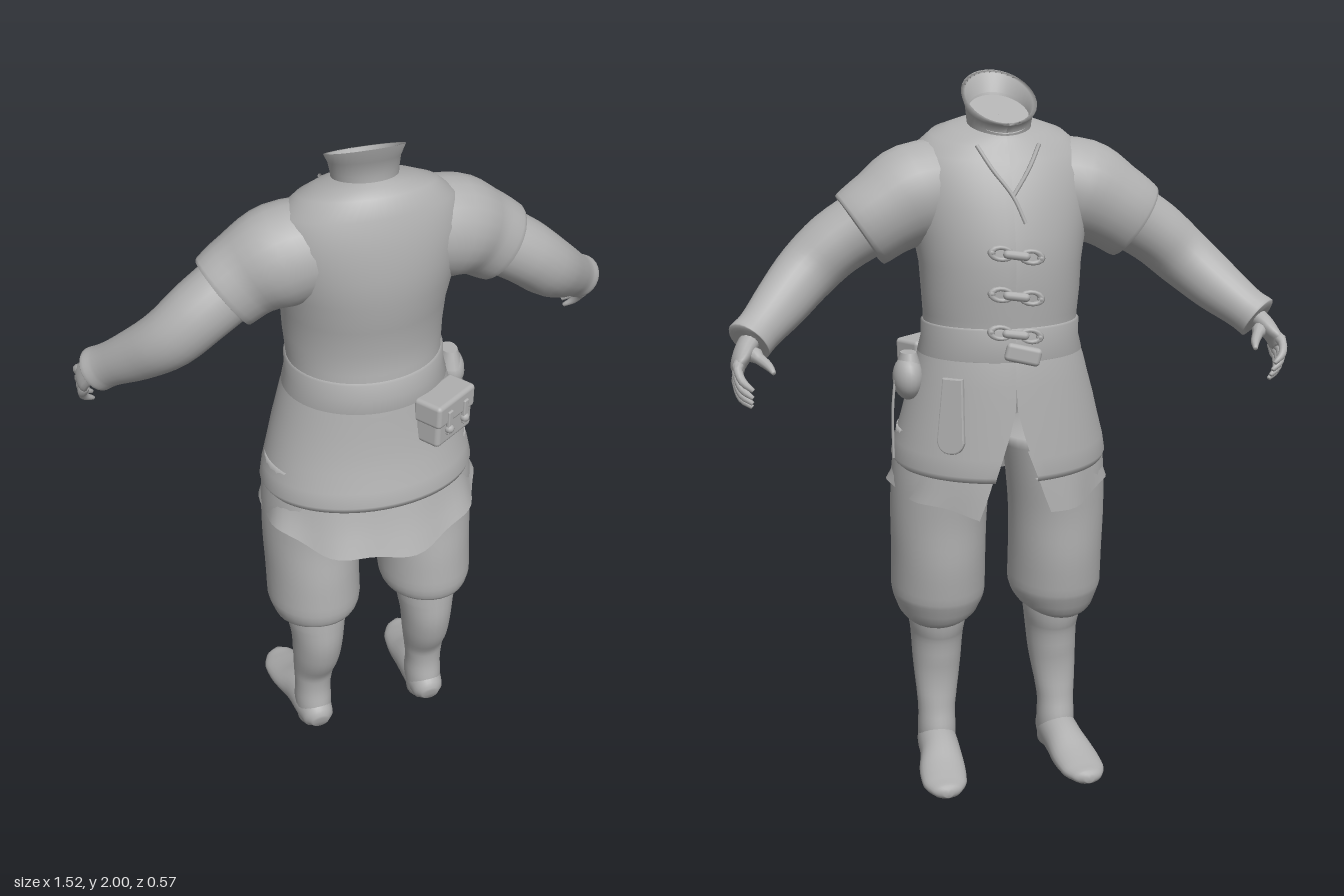
import * as THREE from 'three';
import { RoundedBoxGeometry } from 'three/addons/geometries/RoundedBoxGeometry.js';

const V = (x, y, z) => new THREE.Vector3(x, y, z);
const cloth = new THREE.MeshStandardMaterial({ color: 0xb0b0b0, side: THREE.DoubleSide });
cloth.name = 'plain grey';

// Skin a list of point rings; every ring has the same count
function skin(rings, closed) {
  const n = rings[0].length, pos = [], idx = [];
  rings.forEach(r => r.forEach(p => pos.push(p.x, p.y, p.z)));
  for (let i = 0; i < rings.length - 1; i++) {
    for (let j = 0; j < (closed ? n : n - 1); j++) {
      const k = (j + 1) % n, a = i * n + j, b = i * n + k;
      idx.push(a, b, b + n, a, b + n, a + n);
    }
  }
  const g = new THREE.BufferGeometry();
  g.setAttribute('position', new THREE.Float32BufferAttribute(pos, 3));
  g.setIndex(idx);
  g.computeVertexNormals();
  return g;
}

// Elliptical limb along a smooth path; rows are [x, y, z, radiusAlongRef, radiusAcross]
function limb(rows, { n = 24, sub = 4, ref = V(0, 0, 1), cap = true, edit } = {}) {
  const path = new THREE.CatmullRomCurve3(rows.map(r => V(r[0], r[1], r[2])));
  const size = new THREE.CatmullRomCurve3(rows.map(r => V(r[3], r[4], 0)));
  const steps = (rows.length - 1) * sub, rings = [];
  for (let i = 0; i <= steps; i++) {
    const c = path.getPoint(i / steps), s = size.getPoint(i / steps), d = path.getTangent(i / steps);
    const u = ref.clone().addScaledVector(d, -ref.dot(d)).normalize();
    const v = d.clone().cross(u), ring = [];
    for (let j = 0; j < n; j++) {
      const t = j / n * Math.PI * 2;
      const p = c.clone().addScaledVector(u, s.x * Math.cos(t)).addScaledVector(v, s.y * Math.sin(t));
      if (edit) edit(p);
      ring.push(p);
    }
    rings.push(ring);
  }
  if (cap) {
    const mid = r => r.map(() => r.reduce((a, p) => a.add(p), V(0, 0, 0)).divideScalar(n));
    rings.unshift(mid(rings[0]));
    rings.push(mid(rings[rings.length - 1]));
  }
  return skin(rings, true);
}

// Upright garment; rows run upward as [y, halfWidth, backZ, frontZ, frontGap]
function garment(rows, edit, n = 64) {
  const rings = rows.map(([y, rx, zb, zf, gap = 0], i) => {
    const ring = [], span = Math.PI - gap;
    for (let j = 0; j <= n; j++) {
      const t = -span + 2 * span * j / n;
      const p = V(rx * Math.sin(t), y, (zb + zf) / 2 + (zb - zf) / 2 * Math.cos(t));
      if (edit) edit(p, t, i);
      ring.push(p);
    }
    return ring;
  });
  return skin(rings, false);
}

const torsoRows = [
  [1.24, .222, .175, -.2], [1.3, .212, .172, -.2], [1.36, .215, .165, -.205], [1.42, .22, .16, -.21],
  [1.5, .225, .175, -.215], [1.58, .24, .187, -.205], [1.66, .255, .19, -.185], [1.74, .26, .18, -.16],
  [1.8, .235, .16, -.135], [1.84, .185, .135, -.12], [1.86, .13, .105, -.108], [1.87, .085, .085, -.095]];

// Depth of the chest surface at a given x and y
function chestZ(x, y) {
  let i = 0;
  while (i < torsoRows.length - 2 && torsoRows[i + 1][0] < y) i++;
  const a = torsoRows[i], b = torsoRows[i + 1], k = (y - a[0]) / (b[0] - a[0]);
  const [rx, zb, zf] = [1, 2, 3].map(c => a[c] + (b[c] - a[c]) * k);
  return (zb + zf) / 2 - (zb - zf) / 2 * Math.sqrt(Math.max(0, 1 - (x / rx) ** 2));
}

export function createModel() {
  const model = new THREE.Group();
  const add = (name, geo, parent = model) => {
    const m = new THREE.Mesh(geo, cloth);
    m.name = name;
    parent.add(m);
    return m;
  };

  // Tunic body, tilted forward at the neck
  add('tunicBody', garment(torsoRows, p => {
    p.y += p.z * .25 * THREE.MathUtils.smoothstep(p.y, 1.7, 1.87);
  }));

  // Tunic skirt with a front slit and a rolled hem
  add('tunicSkirt', garment([
    [.94, .28, .215, -.215, .2], [.938, .298, .235, -.232, .2], [.955, .305, .24, -.238, .19],
    [1.0, .297, .228, -.235, .14], [1.06, .28, .212, -.23, .07], [1.12, .265, .2, -.225, .01],
    [1.18, .248, .19, -.22], [1.23, .235, .184, -.215], [1.27, .222, .178, -.207]], p => {
    p.y += p.z * .09 * THREE.MathUtils.smoothstep(-p.y, -1.15, -.95);
  }));
  add('belt', garment([
    [1.245, .222, .176, -.206], [1.25, .23, .184, -.213], [1.29, .22, .181, -.212],
    [1.335, .22, .175, -.212], [1.34, .212, .165, -.203]]));

  // Underskirt with a rippling, uneven hem
  add('underskirt', garment([
    [.84, .312, .272, -.228, .33], [.88, .302, .252, -.226, .28], [.93, .292, .23, -.222, .22],
    [1.0, .28, .21, -.215, .12]], (p, t, i) => {
    const k = (3 - i) / 3, f = 1 + .022 * k * Math.sin(9 * t);
    p.x *= f;
    p.z *= f;
    p.y -= k * (.03 * Math.cos(2 * t) + .008 * Math.sin(7 * t));
  }));

  // Flared collar, high at the nape, with an inset neck
  const tilt = (p, k) => { p.y += (p.z + .01) * k; };
  const slopes = [.25, .3, .4, .5, .5, .45];
  add('collar', garment([
    [1.855, .086, .088, -.1], [1.88, .088, .085, -.1], [1.91, .092, .095, -.115],
    [1.936, .101, .12, -.138], [1.935, .09, .107, -.126], [1.9, .08, .085, -.1]],
    (p, t, i) => tilt(p, slopes[i]), 36));
  add('neck', garment([[1.89, .083, .09, -.105], [1.89, .001, -.008, -.01]], p => tilt(p, .45), 36));

  // Crossed lapel edges on the chest
  [[[.085, 1.82], [.05, 1.76], [0, 1.69], [-.03, 1.62]], [[-.085, 1.82], [-.05, 1.76], [0, 1.69]]].forEach(pts => {
    const c = new THREE.CatmullRomCurve3(pts.map(([x, y]) => V(x, y, chestZ(x, y))));
    add('lapelEdge', new THREE.TubeGeometry(c, 16, .006, 6));
  });

  // Three toggles with cord loops, and a belt knot
  [1.54, 1.43, 1.325].forEach(y => {
    const g = new THREE.Group();
    g.name = 'toggleFastener';
    g.position.set(0, y, chestZ(0, y) - .008);
    g.rotation.z = .15;
    model.add(g);
    const bar = add('toggleBar', new THREE.CapsuleGeometry(.012, .05, 4, 10), g);
    bar.rotation.z = Math.PI / 2;
    [-1, 1].forEach(s => {
      const loop = add('toggleLoop', new THREE.TorusGeometry(.016, .006, 6, 14), g);
      loop.position.set(s * .042, 0, .002);
      loop.scale.x = 1.7;
      const knot = add('toggleKnot', new THREE.SphereGeometry(.011, 10, 8), g);
      knot.position.set(s * .068, 0, .006);
    });
  });
  const sash = add('beltKnot', new RoundedBoxGeometry(.1, .05, .03, 2, .012));
  sash.position.set(-.02, 1.27, -.21);
  sash.rotation.z = .25;

  // Paired limbs
  [['left', 1], ['right', -1]].forEach(([side, s]) => {
    const g = new THREE.Group();
    g.name = side + 'Limbs';
    model.add(g);
    const L = (name, rows, opt) => add(name, limb(rows.map(([x, ...r]) => [x * s, ...r]), opt), g);

    L('shortSleeve', [
      [.1, 1.7, .02, .12, .13], [.23, 1.68, .005, .13, .14], [.32, 1.635, -.01, .11, .122],
      [.385, 1.59, -.01, .098, .113], [.388, 1.588, -.01, .082, .09]]);
    L('longSleeve', [
      [.33, 1.63, -.01, .085, .095], [.45, 1.555, .002, .088, .09], [.53, 1.485, -.01, .08, .085],
      [.61, 1.41, -.07, .066, .075], [.68, 1.35, -.135, .057, .062], [.705, 1.33, -.155, .06, .064],
      [.708, 1.327, -.158, .035, .035]]);
    L('palm', [
      [.695, 1.34, -.145, .032, .028], [.72, 1.31, -.18, .04, .026], [.738, 1.278, -.207, .044, .02],
      [.74, 1.255, -.222, .032, .012]], { n: 14 });
    for (let k = 0; k < 4; k++) {
      const f = k / 3, mix = (a, b) => a + (b - a) * f, b = .006 * Math.sin(f * Math.PI);
      L('finger', [
        [.737, mix(1.295, 1.26), mix(-.215, -.185), .012, .012],
        [.744, mix(1.275, 1.225) - b, mix(-.25, -.21), .012, .012],
        [.735, mix(1.25, 1.195) - b, mix(-.275, -.232), .011, .011],
        [.71, mix(1.228, 1.175) - b, mix(-.287, -.245), .006, .006]], { n: 10, sub: 3 });
    }
    L('thumb', [
      [.71, 1.315, -.18, .015, .015], [.685, 1.295, -.215, .015, .015], [.665, 1.282, -.25, .012, .012],
      [.655, 1.27, -.28, .006, .006]], { n: 10, sub: 3, ref: V(0, 1, 0) });

    // Baggy trousers gathered at the knee
    L('trouserLeg', [
      [.17, .475, .04, .095, .085], [.172, .495, .035, .135, .115], [.172, .55, .03, .155, .134],
      [.172, .65, .02, .157, .134], [.172, .78, .01, .15, .137], [.165, .9, .005, .155, .14],
      [.15, 1.02, 0, .15, .14]], { n: 32 });
    // Boot shaft
    L('bootShaft', [
      [.18, .03, .035, .06, .05], [.18, .1, .025, .068, .055], [.18, .17, .027, .056, .054],
      [.178, .23, .033, .055, .06], [.174, .32, .052, .08, .07], [.172, .4, .058, .094, .076],
      [.172, .46, .05, .1, .085], [.172, .53, .045, .1, .087]]);
    // Foot with a flattened sole
    L('foot', [
      [.18, .055, .1, .025, .025], [.18, .062, .08, .046, .052], [.182, .07, .02, .056, .064],
      [.186, .062, -.06, .058, .058], [.196, .045, -.14, .066, .042], [.203, .036, -.21, .062, .03],
      [.205, .034, -.255, .04, .022], [.205, .034, -.272, .012, .012]],
      { ref: V(1, 0, 0), edit: p => { p.y = Math.max(p.y, THREE.MathUtils.clamp(.015 + p.z * .12, 0, .02)); } });
  });

  // Square belt bag on the broad side, with flap and two buckles
  const bag = new THREE.Group();
  bag.name = 'beltBag';
  bag.position.set(.17, 1.19, .158);
  bag.rotation.set(0, .58, -.04);
  model.add(bag);
  add('bagBody', new RoundedBoxGeometry(.16, .13, .08, 3, .014), bag);
  add('bagFlap', new RoundedBoxGeometry(.168, .07, .09, 3, .012), bag).position.y = .034;
  [-.036, .036].forEach(x => {
    add('bagStrap', new RoundedBoxGeometry(.02, .075, .012, 2, .004), bag).position.set(x, .005, .045);
    add('bagBuckle', new THREE.SphereGeometry(.014, 10, 8), bag).position.set(x, -.015, .045);
  });

  // Round pouch and hanging cord
  const pouch = add('roundPouch', new THREE.SphereGeometry(1, 20, 14));
  pouch.position.set(.265, 1.185, -.045);
  pouch.scale.set(.042, .062, .056);
  const flap = add('pouchFlap', new THREE.CylinderGeometry(.03, .05, .05, 16));
  flap.position.set(.262, 1.23, -.04);
  flap.scale.x = .75;
  add('pouchCord', new THREE.TubeGeometry(new THREE.CatmullRomCurve3(
    [V(.302, 1.19, -.055), V(.31, 1.1, -.055), V(.31, .96, -.055)]), 10, .004, 6));

  // Tongue-shaped hanging tab
  const tabShape = new THREE.Shape();
  tabShape.moveTo(-.026, .1).lineTo(-.036, -.07);
  tabShape.quadraticCurveTo(-.03, -.1, 0, -.1).quadraticCurveTo(.03, -.1, .036, -.07);
  tabShape.lineTo(.026, .1).closePath();
  const tab = add('hangingTab', new THREE.ExtrudeGeometry(tabShape, {
    depth: .012, bevelSize: .004, bevelThickness: .004, bevelSegments: 2 }));
  tab.position.set(.165, 1.1, -.172);
  tab.rotation.set(.1, Math.PI - .6, 0, 'YXZ');
  tab.rotation.x = -.1;

  return model;
}
